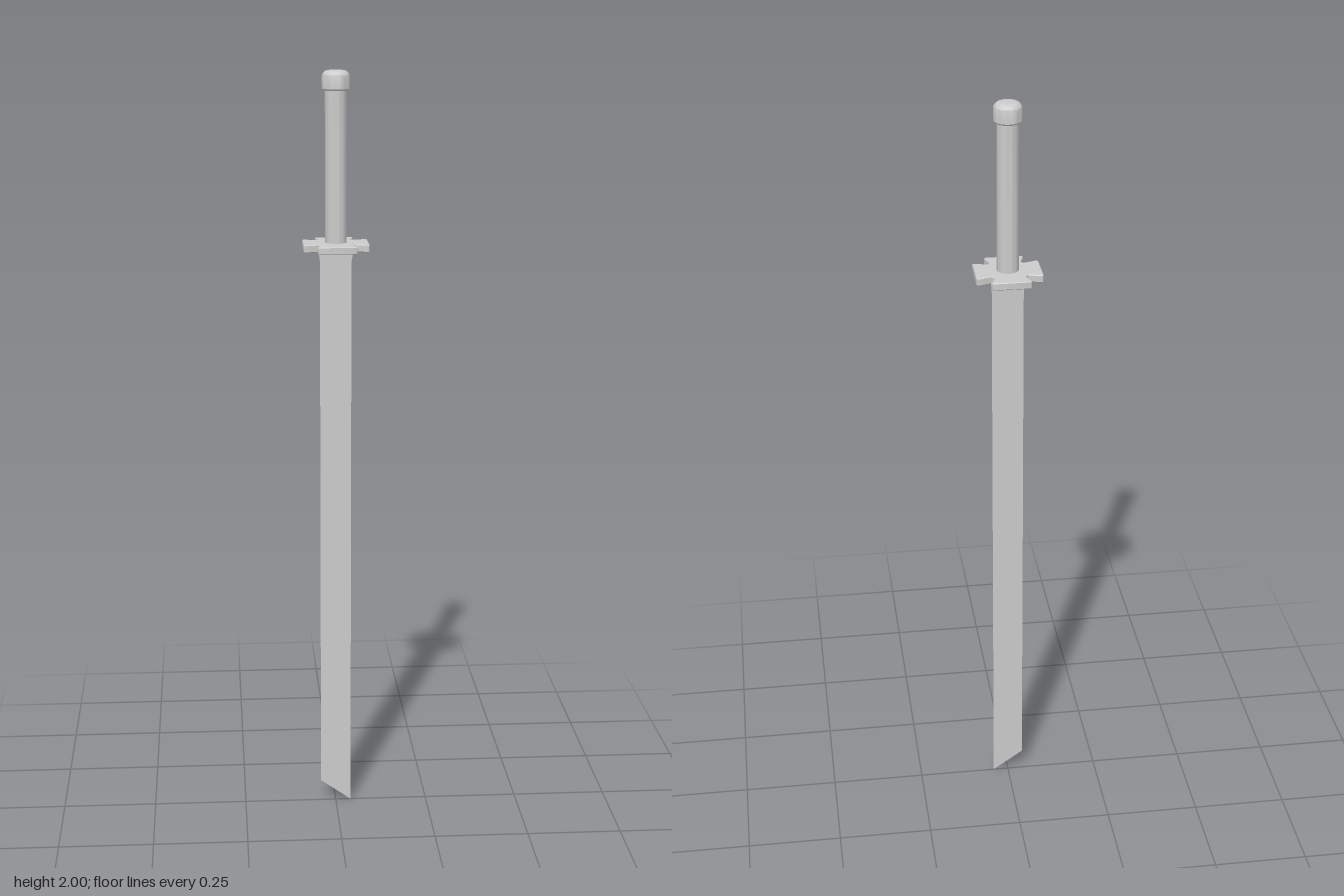
import * as THREE from 'three';
import { toCreasedNormals } from 'three/addons/utils/BufferGeometryUtils.js';

export function createModel() {
  const group = new THREE.Group();
  const grey = new THREE.MeshStandardMaterial({ color: 0xcccccc });
  const thin = new THREE.MeshStandardMaterial({ color: 0xcccccc, side: THREE.DoubleSide });

  const add = (name, geometry, material = grey) => {
    const mesh = new THREE.Mesh(geometry, material);
    mesh.name = name;
    group.add(mesh);
    return mesh;
  };
  const lathe = (points) => toCreasedNormals(
    new THREE.LatheGeometry(points.map(([r, y]) => new THREE.Vector2(r, y)), 32), 0.6);

  // Paper-thin blade with a slanted tip
  const outline = new THREE.Shape([
    [-0.041, 1.55], [-0.041, 0.058], [0.041, 0], [0.041, 1.55],
  ].map(([x, y]) => new THREE.Vector2(x, y)));
  add('blade', new THREE.ShapeGeometry(outline), thin);

  // Narrow collar where the blade meets the guard
  const collarShape = new THREE.Shape([
    [-0.045, 1.55], [-0.042, 1.515], [0.042, 1.515], [0.045, 1.55],
  ].map(([x, y]) => new THREE.Vector2(x, y)));
  const collar = new THREE.ExtrudeGeometry(collarShape, { depth: 0.006, bevelEnabled: false });
  collar.translate(0, 0, -0.003);
  add('bladeCollar', collar);

  // Guard: four flared arms with rounded corners and blunt notches
  const guardShape = new THREE.Shape();
  for (let i = 0; i < 4; i++) {
    const a = i * Math.PI / 2, c = Math.cos(a), s = Math.sin(a);
    const p = (x, y) => [x * c - y * s, x * s + y * c];
    if (i === 0) guardShape.moveTo(...p(0.047, -0.040));
    else guardShape.lineTo(...p(0.047, -0.040));
    guardShape.lineTo(...p(0.079, -0.050));
    guardShape.quadraticCurveTo(...p(0.085, -0.051), ...p(0.085, -0.044));
    guardShape.lineTo(...p(0.085, 0.044));
    guardShape.quadraticCurveTo(...p(0.085, 0.051), ...p(0.079, 0.050));
    guardShape.lineTo(...p(0.047, 0.040));
    guardShape.lineTo(...p(0.043, 0.043));
  }
  guardShape.closePath();
  const guard = new THREE.ExtrudeGeometry(guardShape, {
    depth: 0.016, bevelThickness: 0.002, bevelSize: 0.002, bevelOffset: -0.002,
    bevelSegments: 1, curveSegments: 5,
  });
  guard.rotateX(-Math.PI / 2);
  guard.translate(0, 1.544, 0);
  add('guard', toCreasedNormals(guard, 0.6));

  // Round grip
  add('grip', lathe([[0, 1.55], [0.028, 1.55], [0.028, 1.96], [0, 1.96]]));

  // Pommel cap with a rounded upper edge
  const cap = [[0, 1.95], [0.033, 1.95], [0.036, 1.954], [0.036, 1.983]];
  for (let i = 1; i <= 6; i++) {
    const a = i / 6 * Math.PI / 2;
    cap.push([0.019 + 0.017 * Math.cos(a), 1.983 + 0.017 * Math.sin(a)]);
  }
  cap.push([0, 2]);
  add('pommel', lathe(cap));

  return group;
}
